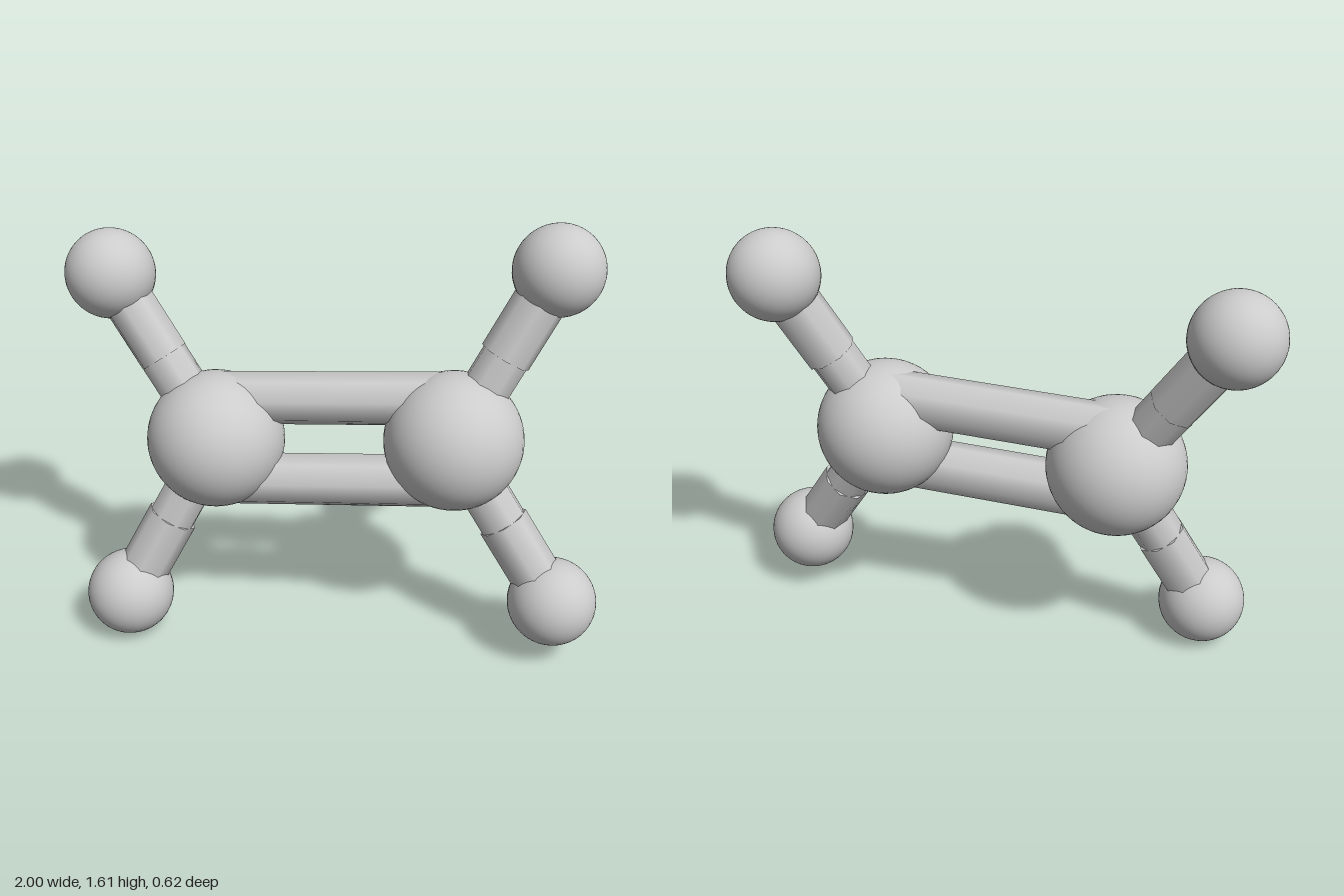
import * as THREE from 'three';

const material = new THREE.MeshStandardMaterial({ color: 0xcccccc });

function ball(name, position, radius) {
  const mesh = new THREE.Mesh(new THREE.SphereGeometry(radius, 48, 32), material);
  mesh.name = name;
  mesh.position.copy(position);
  return mesh;
}

// Rod from a to b, with one of its edges facing the side direction
function rod(name, a, b, radius, side, twist = 0) {
  const axis = b.clone().sub(a);
  const geometry = new THREE.CylinderGeometry(radius, radius, axis.length(), 8);
  geometry.rotateY(twist);
  const y = axis.normalize();
  const x = new THREE.Vector3().crossVectors(y, side).normalize();
  const z = new THREE.Vector3().crossVectors(x, y);
  const mesh = new THREE.Mesh(geometry, material);
  mesh.name = name;
  mesh.quaternion.setFromRotationMatrix(new THREE.Matrix4().makeBasis(x, y, z));
  mesh.position.copy(a).add(b).multiplyScalar(0.5);
  return mesh;
}

export function createModel() {
  const model = new THREE.Group();
  model.name = 'molecule';
  const centre = new THREE.Vector3(0, 0.805, 0);
  const planeUp = new THREE.Vector3(0, 0.973, -0.23); // up within the molecule's plane
  const planeNormal = new THREE.Vector3(0, 0.23, 0.973);

  // The two halves are the same, turned half way round the plane normal
  for (const [label, s] of [['right', -1], ['left', 1]]) {
    const place = (x, y, z) => new THREE.Vector3(x, y, z).multiplyScalar(s).add(centre);
    const carbon = place(0.442, 0.021, 0.007);
    model.add(ball(label + 'LargeAtom', carbon, 0.257));

    const ends = [place(0.781, 0.638, -0.13), place(0.835, -0.565, 0.146)];
    ends.forEach((end, i) => {
      const name = label + ((i === 0) === (s > 0) ? 'Upper' : 'Lower');
      const middle = carbon.clone().lerp(end, 0.5);
      model.add(ball(name + 'SmallAtom', end, 0.165));
      // Each single bond is two rods meeting at a seam
      model.add(rod(name + 'InnerBond', carbon, middle, 0.091, planeNormal, Math.PI / 8));
      model.add(rod(name + 'OuterBond', middle, end, 0.096, planeNormal));
    });
  }

  // Double bond: two parallel rods offset within the plane
  const a = new THREE.Vector3(-0.442, -0.021, -0.007).add(centre);
  const b = new THREE.Vector3(0.442, 0.021, 0.007).add(centre);
  for (const [name, s] of [['upperDoubleBond', 1], ['lowerDoubleBond', -1]]) {
    const shift = planeUp.clone().multiplyScalar(0.155 * s);
    model.add(rod(name, a.clone().add(shift), b.clone().add(shift), 0.1, planeUp));
  }
  return model;
}
